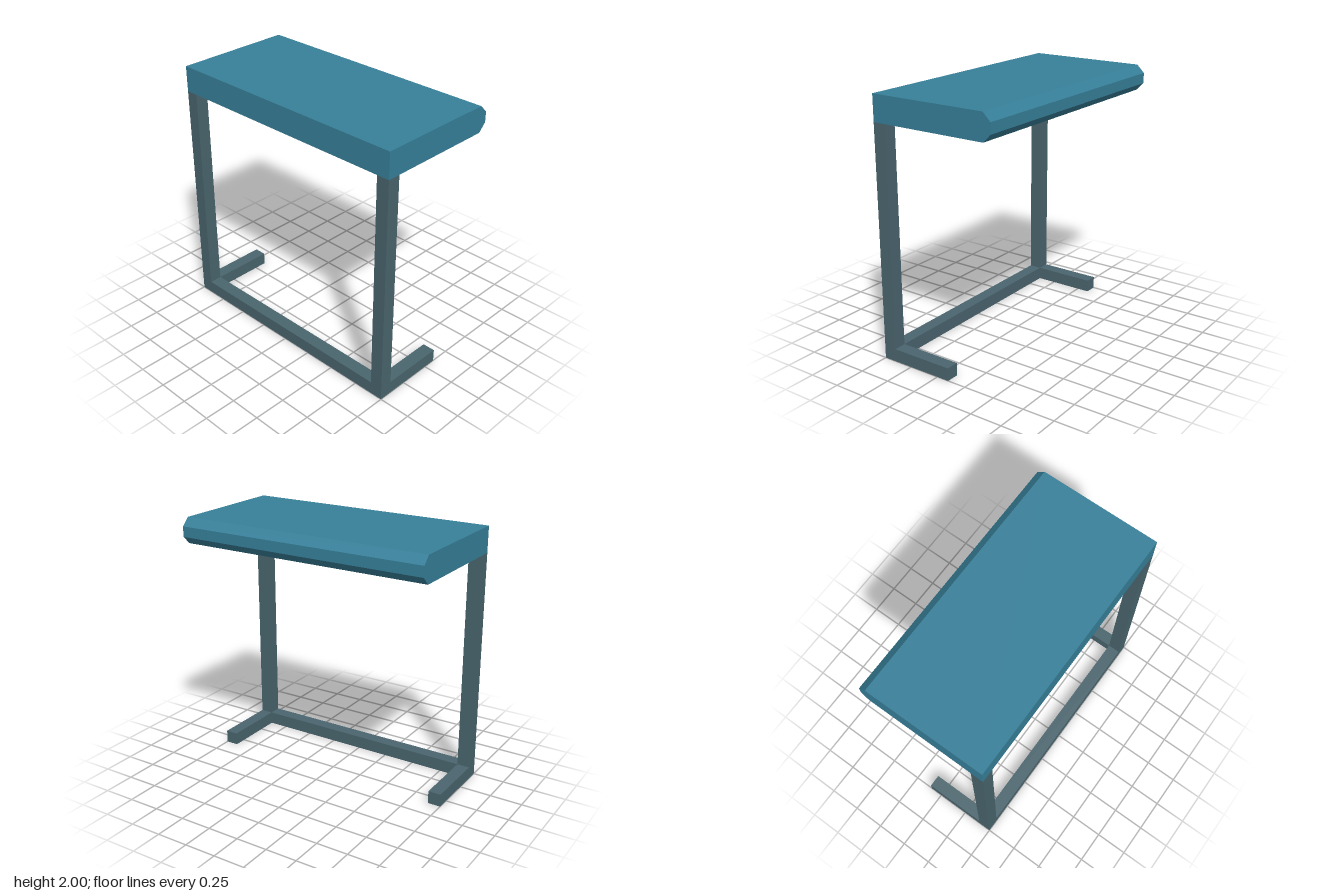
import * as THREE from 'three';

const topTeal = new THREE.MeshStandardMaterial({ color: 0x37809a });
topTeal.name = 'tealTop';
const frameGrey = new THREE.MeshStandardMaterial({ color: 0x4a656e });
frameGrey.name = 'slateFrame';

const BAR = 0.1; // square section of the frame

// Box given by its minimum and maximum corners
function bar(name, min, max) {
  const size = max.map((v, i) => v - min[i]);
  const mesh = new THREE.Mesh(new THREE.BoxGeometry(...size), frameGrey);
  mesh.position.set(...max.map((v, i) => (v + min[i]) / 2));
  mesh.name = name;
  return mesh;
}

export function createModel() {
  const model = new THREE.Group();
  model.name = 'sideTable';

  // Table top: slab with a chamfered long edge
  const profile = new THREE.Shape([
    [-0.5, 1.8], [0.44, 1.8], [0.5, 1.86], [0.5, 1.94], [0.44, 2], [-0.5, 2],
  ].map(([x, y]) => new THREE.Vector2(x, y)));
  const slab = new THREE.ExtrudeGeometry(profile, { depth: 2, bevelEnabled: false });
  slab.translate(0, 0, -1);
  const tableTop = new THREE.Mesh(slab, topTeal);
  tableTop.name = 'tableTop';
  model.add(tableTop);

  // Upright leg and foot at each end
  for (const [label, z] of [['front', 1 - BAR], ['back', -1]]) {
    model.add(bar(label + 'Leg', [-0.5, 0, z], [-0.4, 1.8, z + BAR]));
    model.add(bar(label + 'Foot', [-0.4, 0, z], [0.1, BAR, z + BAR]));
  }

  // Floor rail joining the legs
  model.add(bar('floorRail', [-0.5, 0, -1 + BAR], [-0.4, BAR, 1 - BAR]));

  return model;
}
